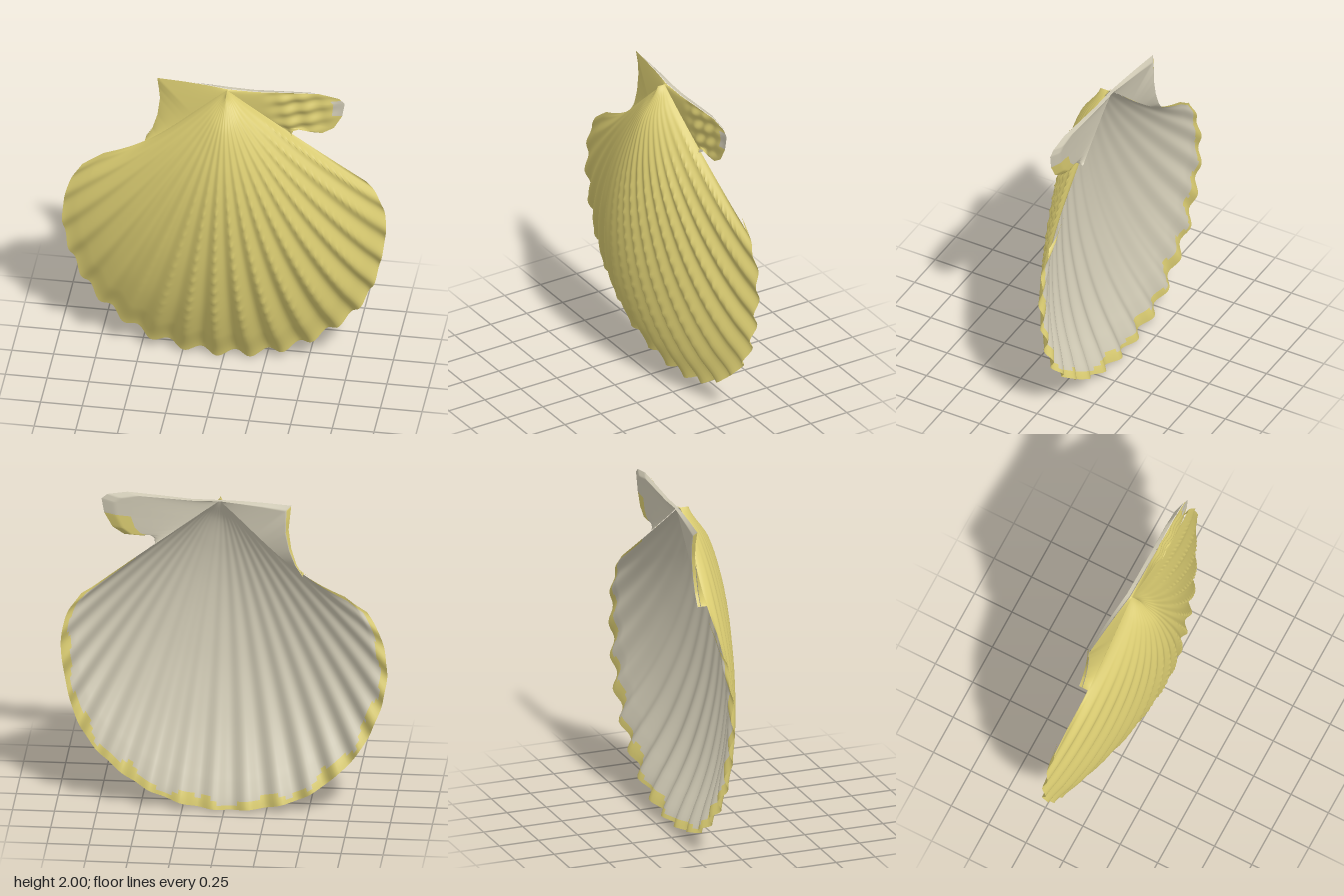
import * as THREE from 'three';

const yellow = new THREE.MeshStandardMaterial({ color: 0xd8ca70 });
yellow.name = 'shell yellow';
const pale = new THREE.MeshStandardMaterial({ color: 0xcdc7b2 });
pale.name = 'pale lining';

const UMBO = [0.03, 1.97];
const RIBS = 19;
const MID = 0.51;
const { lerp, clamp, smoothstep } = THREE.MathUtils;

// Lower rim of the fan, from the left shoulder round to the right one
const rim = new THREE.SplineCurve([
  [-0.85, 1.3], [-0.93, 1.15], [-0.97, 0.93], [-0.93, 0.68], [-0.8, 0.4], [-0.6, 0.19], [-0.4, 0.07],
  [-0.1, 0.01], [0.2, 0.03], [0.45, 0.12], [0.65, 0.26], [0.8, 0.42], [0.9, 0.62], [0.96, 0.9],
  [0.97, 1.08], [0.93, 1.24], [0.85, 1.36],
].map(p => new THREE.Vector2(...p)));
rim.arcLengthDivisions = 800;

// Depth along the middle ray, at even steps from hinge to rim
const depth = new THREE.SplineCurve(
  [-0.03, 0.09, 0.15, 0.178, 0.182, 0.168, 0.14, 0.095, 0.035, -0.045, -0.14]
    .map((z, i) => new THREE.Vector2(i / 10, z)));

const sideDepth = s => -0.14 + 0.06 * (1 - s);

// Point on the ribbed fan: u across, s from hinge to rim
function fanPoint(u, s, back) {
  const r = rim.getPointAt(u);
  const v = clamp(Math.abs(u - MID) / 0.5, 0, 1);
  const rib = -Math.cos(2 * Math.PI * RIBS * (u - MID));
  const k = s + 0.004 * rib * s * s * (1 - v * v);
  const x = lerp(UMBO[0], r.x, k);
  let y = lerp(UMBO[1], r.y, k);
  const sag = Math.sin(Math.PI * Math.min(1, s / 0.85) ** 1.3);
  y -= 0.065 * sag * Math.max(0, 1 - u / 0.15) ** 2;

  const base = sideDepth(s);
  let z = base + (depth.getPoint(s).y - base) * (1 - v ** 1.7);
  z -= 0.022 * s ** 6 * (1 - v * v);
  const strength = 0.029 * s ** 1.3 * (1 - 0.8 * v * v);
  z += strength * rib * (back ? lerp(0.45, 1, s ** 4) : 1);
  if (back) {
    z -= 0.022 * Math.min(1, (1 - s) * 12);
  } else {
    // Small pimples in rows along the ribs
    const zone = smoothstep(s, 0.2, 0.4) * (1 - smoothstep(s, 0.75, 0.95)) * smoothstep(u, 0.3, 0.5);
    z += 0.008 * zone * Math.max(0, rib) ** 4 * Math.max(0, Math.sin(s * 140 + u * 40));
  }
  return [x, y, z];
}

// Piecewise straight path through points, t from 0 to 1
function along(points, t) {
  const f = t * (points.length - 1);
  const i = Math.min(points.length - 2, Math.floor(f));
  return [0, 1].map(n => lerp(points[i][n], points[i + 1][n], f - i));
}

// Point on an ear: t from hinge to notch, w from the fan's side to the ear's edge
function earPoint(ear, t, w, back) {
  const inner = fanPoint(ear.u, t * ear.reach, false);
  const edge = along(ear.outline, t);
  const edgeZ = lerp(-0.09, ear.edgeZ, Math.min(1, t * 2));
  const x = lerp(inner[0], edge[0], w);
  const y = lerp(inner[1], edge[1], w);
  let z = lerp(inner[2], edgeZ, w);
  if (back) z -= 0.028 * Math.min(1, (1 - w) * 6 + 0.15);
  else z += ear.rough * Math.sin(w * Math.PI) * smoothstep(x, 0.2, 0.4)
    * (Math.sin(x * 45 + y * 12) + 1.3 * Math.sin(y * 70 - x * 22));
  return [x, y, z];
}

// Curved sheet over a grid; cells chosen by isPale get the pale material
function sheet(name, nu, nv, point, isPale, back) {
  const positions = [], cells = [[], []];
  for (let j = 0; j <= nv; j++)
    for (let i = 0; i <= nu; i++) positions.push(...point(i / nu, j / nv));
  for (let j = 0; j < nv; j++) {
    for (let i = 0; i < nu; i++) {
      const a = j * (nu + 1) + i, b = a + 1, c = a + nu + 1, d = c + 1;
      const list = cells[isPale((i + 0.5) / nu, (j + 0.5) / nv) ? 1 : 0];
      if (back) list.push(a, b, c, b, d, c);
      else list.push(a, c, b, b, c, d);
    }
  }
  const geometry = new THREE.BufferGeometry();
  geometry.setAttribute('position', new THREE.Float32BufferAttribute(positions, 3));
  geometry.setIndex(cells[0].concat(cells[1]));
  geometry.addGroup(0, cells[0].length, 0);
  geometry.addGroup(cells[0].length, cells[1].length, 1);
  geometry.computeVertexNormals();
  const mesh = new THREE.Mesh(geometry, [yellow, pale]);
  mesh.name = name;
  return mesh;
}

export function createModel() {
  const shell = new THREE.Group();
  shell.name = 'scallopShell';

  // Ribbed fan, outside and lining with an uneven yellow border
  const lined = (u, s) => {
    const v = Math.abs(u - MID) * 2;
    return s < 0.975 - 0.035 * v * v + 0.012 * Math.sin(u * 55) + 0.006 * Math.sin(u * 131)
      && !(s > 0.6 && (u < 0.012 || u > 0.988));
  };
  shell.add(sheet('fanOutside', 228, 110, (u, s) => fanPoint(u, s, false), () => false, false));
  shell.add(sheet('fanLining', 190, 80, (u, s) => fanPoint(u, s, true), lined, true));

  // Ears either side of the hinge
  const ears = [
    {
      name: 'rightEar', u: 0, reach: 0.57, edgeZ: -0.15, rough: 0, flip: false,
      outline: [UMBO, [-0.1, 1.975], [-0.25, 1.975], [-0.4, 1.97], [-0.385, 1.82], [-0.4, 1.7],
        [-0.43, 1.6], [-0.47, 1.526]],
      tip: () => false,
      lining: (t, w) => !(w > 0.88 && t > 0.43),
    },
    {
      name: 'leftEar', u: 1, reach: 0.47, edgeZ: -0.075, rough: 0.006, flip: true,
      outline: [UMBO, [0.2, 1.97], [0.38, 1.985], [0.58, 2], [0.7, 1.98], [0.735, 1.95], [0.72, 1.86],
        [0.67, 1.77], [0.6, 1.725], [0.53, 1.725], [0.46, 1.735], [0.425, 1.72], [0.415, 1.69]],
      tip: (t, w) => w > 0.88 && t > 0.37 && t < 0.5,
      lining: (t, w) => !(w > 0.68 && t > 0.5 && t < 0.8),
    },
  ];
  for (const ear of ears) {
    const turn = t => (ear.flip ? 1 - t : t);
    for (const back of [false, true]) {
      const paint = back ? ear.lining : ear.tip;
      shell.add(sheet(ear.name + (back ? 'Lining' : 'Outside'), 84, 40,
        (t, w) => earPoint(ear, turn(t), w, back), (t, w) => paint(turn(t), w), back));
    }
  }
  return shell;
}
